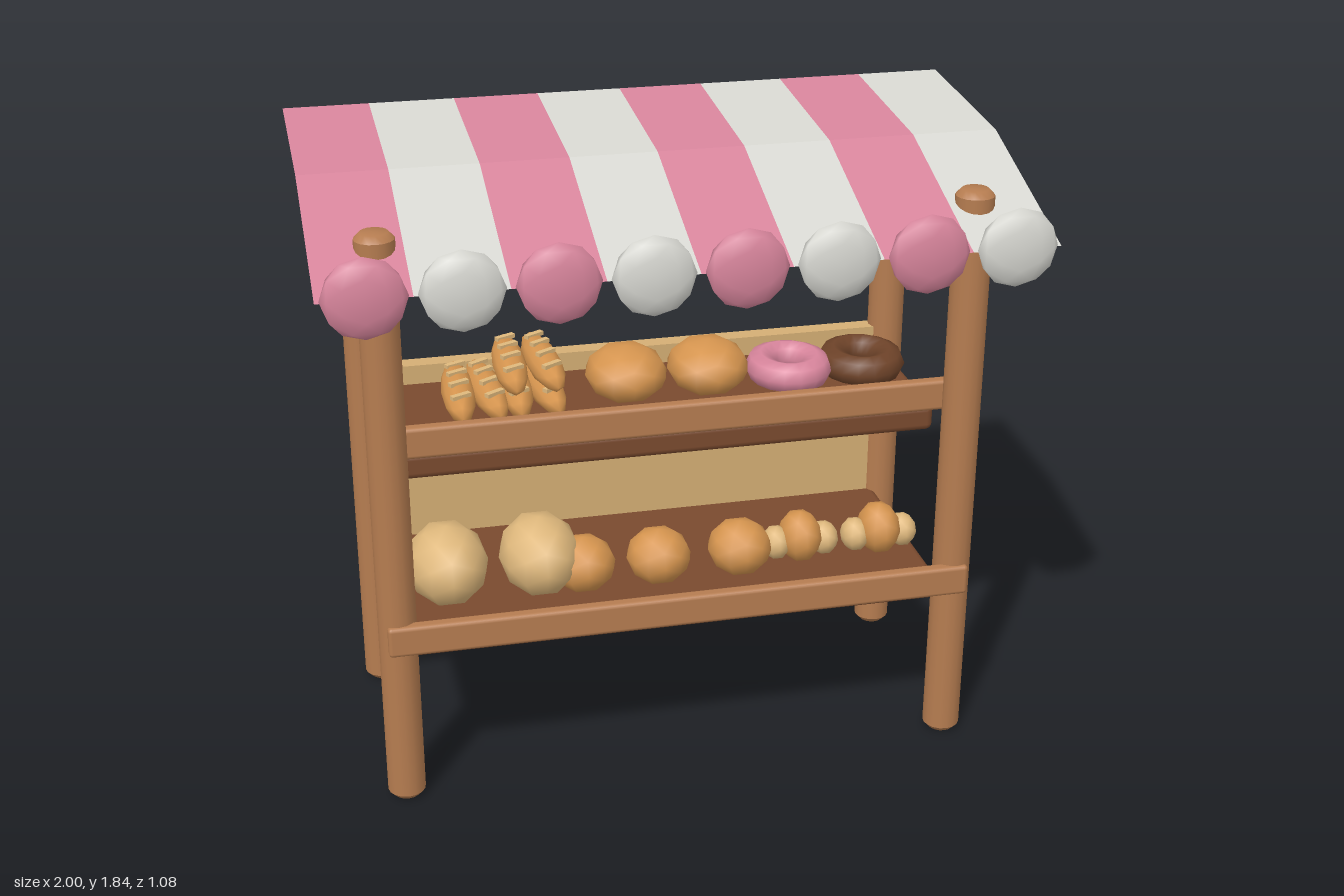
import * as THREE from 'three';
import { RoundedBoxGeometry } from 'three/addons/geometries/RoundedBoxGeometry.js';

function material(name, color) {
  const m = new THREE.MeshStandardMaterial({ color });
  m.name = name;
  return m;
}

export function createModel() {
  const group = new THREE.Group();
  group.name = 'bakeryStall';

  const wood = material('wood', 0xb57c50);
  const darkWood = material('darkWood', 0x7a4a2e);
  const panelWood = material('panelWood', 0xd4ae74);
  const pink = material('pink', 0xd8859c);
  const white = material('white', 0xd8d8d2);
  const crust = material('crust', 0xd6954f);
  const paleCrust = material('paleCrust', 0xdfb87c);
  const chocolate = material('chocolate', 0x6e4329);

  const add = (name, geometry, mat, x, y, z, parent = group) => {
    const mesh = new THREE.Mesh(geometry, mat);
    mesh.name = name;
    mesh.position.set(x, y, z);
    parent.add(mesh);
    return mesh;
  };
  const ball = new THREE.IcosahedronGeometry(1, 1);
  const blob = (name, mat, x, y, z, rx, ry, rz, parent) => {
    const mesh = add(name, ball, mat, x, y, z, parent);
    mesh.scale.set(rx, ry, rz);
    return mesh;
  };

  // Posts with bevelled ends
  const post = new THREE.LatheGeometry(
    [[0, 0], [0.038, 0], [0.055, 0.018], [0.055, 0.018], [0.055, 1.712], [0.055, 1.712], [0.038, 1.73], [0, 1.73]]
      .map(([r, y]) => new THREE.Vector2(r, y)), 16);
  for (const x of [-0.825, 0.825]) {
    add('frontPost', post, wood, x, 0, 0.295);
    add('backPost', post, wood, x, 0, -0.395);
  }

  // Back panel, shelves and the lip rails in front of them
  add('backPanel', new THREE.BoxGeometry(1.6, 0.96, 0.055), panelWood, 0, 0.59, -0.395);
  const board = (name, mat, w, y0, y1, z0, z1, r) =>
    add(name, new RoundedBoxGeometry(w, y1 - y0, z1 - z0, 2, r), mat, 0, (y0 + y1) / 2, (z0 + z1) / 2);
  board('lowerShelf', darkWood, 1.61, 0.42, 0.5, -0.445, 0.25, 0.02);
  board('upperShelf', darkWood, 1.61, 0.93, 1.01, -0.445, 0.135, 0.02);
  board('lowerRail', wood, 1.715, 0.49, 0.583, 0.32, 0.36, 0.012);
  board('upperRail', wood, 1.715, 1.0, 1.095, 0.11, 0.15, 0.012);

  // Awning: bent top sheet and flat underside per stripe, with a scallop each
  const profile = [[1.84, -0.54], [1.797, -0.02], [1.62, 0.5]];
  const stripe = (x0, x1) => {
    const p = [];
    const quad = (a, b, l, r) => p.push(
      l, ...a, l, ...b, r, ...b,
      l, ...a, r, ...b, r, ...a);
    quad(profile[0], profile[1], x0, x1);
    quad(profile[1], profile[2], x0, x1);
    quad(profile[0], profile[2], x1, x0);
    const g = new THREE.BufferGeometry();
    g.setAttribute('position', new THREE.Float32BufferAttribute(p, 3));
    g.computeVertexNormals();
    return g;
  };
  for (let i = 0; i < 8; i++) {
    const x = -1 + i * 0.25;
    const mat = i % 2 ? white : pink;
    add('awningStripe', stripe(x, x + 0.25), mat, 0, 0, 0);
    blob('awningScallop', mat, x + 0.125, 1.625, 0.5, 0.114, 0.112, 0.036);
  }

  // Lower shelf: big loaves, round buns and filled rolls
  for (const x of [-0.65, -0.375]) blob('loaf', paleCrust, x, 0.612, 0.05, 0.122, 0.12, 0.157);
  for (const x of [-0.25, -0.02, 0.23]) blob('bun', crust, x, 0.58, 0.08, 0.098, 0.086, 0.1);
  for (const x of [0.425, 0.675]) {
    blob('rollMiddle', crust, x, 0.585, 0.06, 0.066, 0.08, 0.085);
    for (const s of [-1, 1]) blob('rollEnd', paleCrust, x + s * 0.075, 0.57, 0.06, 0.045, 0.052, 0.055);
  }

  // Upper shelf: buns and ring doughnuts
  for (const x of [-0.07, 0.18]) blob('largeBun', crust, x, 1.088, -0.14, 0.124, 0.084, 0.142);
  const ring = new THREE.TorusGeometry(0.085, 0.046, 8, 16).rotateX(Math.PI / 2);
  for (const [x, mat] of [[0.435, pink], [0.665, chocolate]]) {
    add('doughnut', ring, mat, x, 1.058, -0.145).scale.z = 1.1;
  }

  // Baguettes in two layers with pale slashes on top
  const slash = new THREE.BoxGeometry(0.062, 0.012, 0.018);
  const baguette = (x, y, turn) => {
    const loaf = new THREE.Group();
    loaf.name = 'baguette';
    loaf.position.set(x, y, -0.165);
    loaf.rotation.y = turn;
    blob('baguetteCrust', crust, 0, 0, 0, 0.05, 0.047, 0.21, loaf);
    for (let i = 0; i < 4; i++) {
      const z = -0.12 + i * 0.08;
      const y2 = 0.046 * Math.sqrt(1 - (z / 0.21) ** 2);
      add('baguetteSlash', slash, paleCrust, 0, y2, z, loaf).rotation.y = 0.5;
    }
    group.add(loaf);
  };
  [-0.57, -0.485, -0.4, -0.315].forEach((x, i) => baguette(x, 1.06, i % 2 ? 0.06 : -0.06));
  baguette(-0.415, 1.134, -0.05);
  baguette(-0.315, 1.134, 0.05);

  return group;
}
